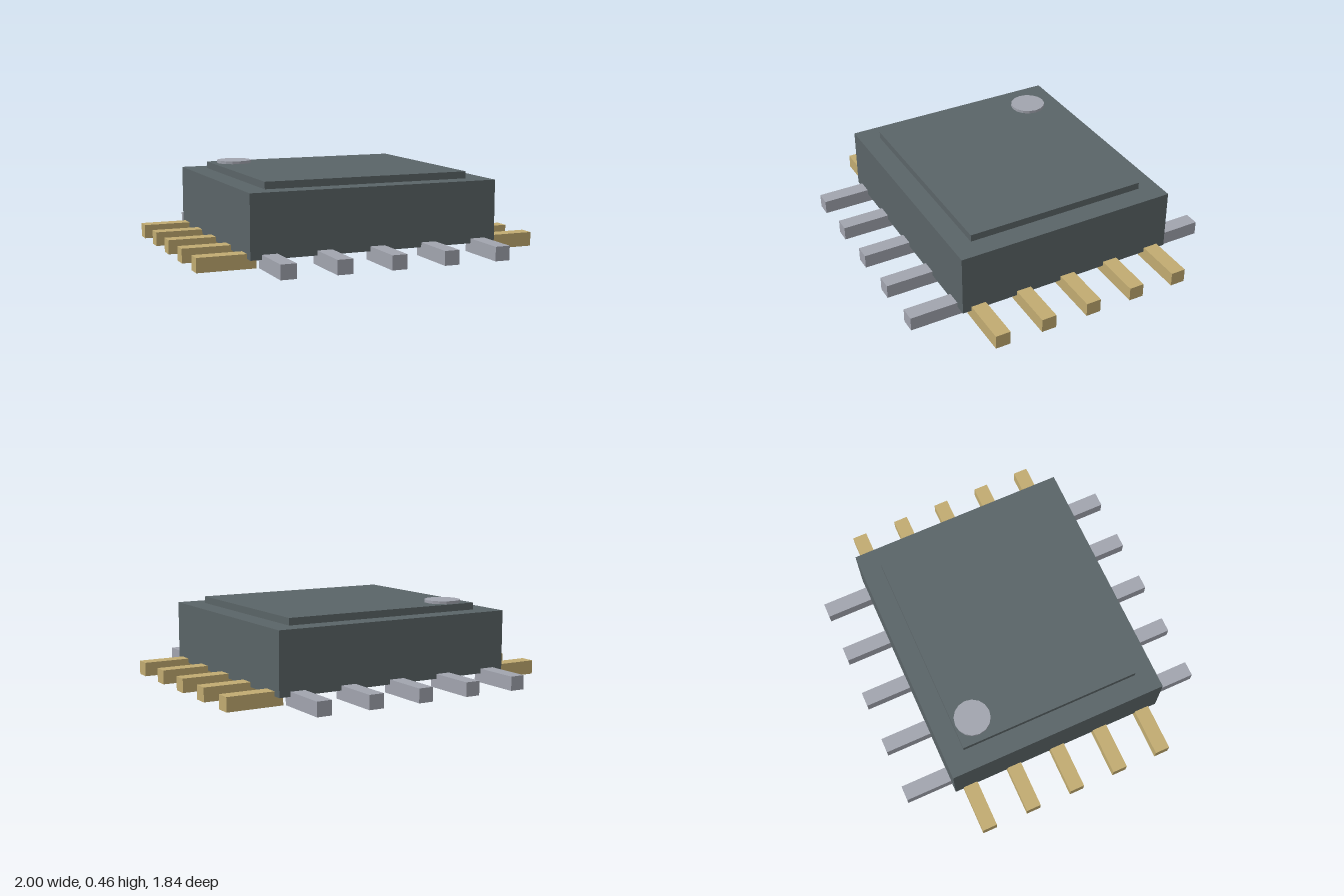
import * as THREE from 'three';

const material = (name, color) => {
  const m = new THREE.MeshStandardMaterial({ color });
  m.name = name;
  return m;
};

export function createModel() {
  const chip = new THREE.Group();
  chip.name = 'chipPackage';
  const slate = material('slate', 0x5a6467);
  const gold = material('gold', 0xc1ab71);
  const silver = material('silver', 0xa1a4ae);

  const add = (name, geometry, mat, x, y, z) => {
    const mesh = new THREE.Mesh(geometry, mat);
    mesh.name = name;
    mesh.position.set(x, y, z);
    chip.add(mesh);
  };

  // Housing with a raised lid
  add('body', new THREE.BoxGeometry(1.45, 0.352, 1.288), slate, 0, 0.229, 0);
  add('lid', new THREE.BoxGeometry(1.204, 0.05, 1.056), slate, 0, 0.42, 0);

  // Orientation dot in the back corner
  const dot = new THREE.CylinderGeometry(0.103, 0.103, 0.025, 16).toNonIndexed();
  dot.computeVertexNormals();
  add('cornerDot', dot, silver, -0.465, 0.449, -0.415);

  // Five pins along each edge, tucked slightly under the housing
  const sidePin = new THREE.BoxGeometry(0.325, 0.08, 0.086);
  const endPin = new THREE.BoxGeometry(0.087, 0.08, 0.325);
  for (const side of [-1, 1]) {
    for (let i = -2; i <= 2; i++) {
      add(side > 0 ? 'leftPin' : 'rightPin', sidePin, gold, side * 0.8375, 0.04, i * 0.275);
      add(side > 0 ? 'frontPin' : 'backPin', endPin, silver, i * 0.3085, 0.04, side * 0.756);
    }
  }
  return chip;
}
